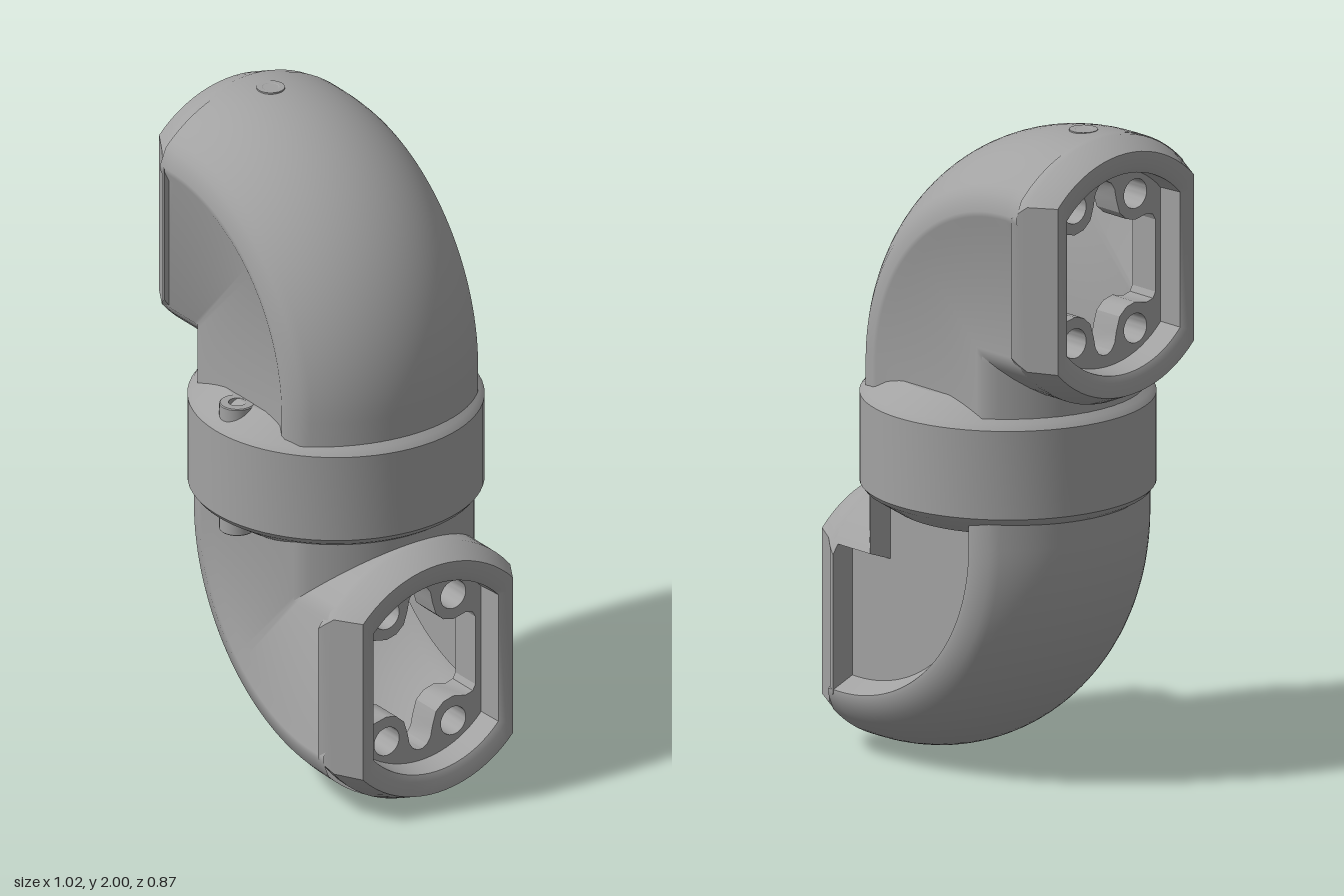
import * as THREE from 'three';
import { toCreasedNormals } from 'three/addons/utils/BufferGeometryUtils.js';

const grey = new THREE.MeshStandardMaterial({ color: 0xa2a2a2 });
grey.name = 'grey metal';
grey.side = THREE.DoubleSide;

const R = 0.405;        // pipe radius, also the bend radius
const MID = 1.595;      // height of the upper opening's centre

function part(name, geometry, parent) {
  const mesh = new THREE.Mesh(geometry, grey);
  mesh.name = name;
  parent.add(mesh);
  return mesh;
}

// Skin over closed rings that all have the same number of points
function loft(rings, crease) {
  const n = rings[0].length, index = [];
  for (let i = 0; i < rings.length - 1; i++) {
    for (let j = 0; j < n; j++) {
      const a = i * n + j, b = i * n + (j + 1) % n;
      index.push(a, a + n, b, b, a + n, b + n);
    }
  }
  const g = new THREE.BufferGeometry();
  g.setAttribute('position', new THREE.Float32BufferAttribute(rings.flat(2), 3));
  g.setIndex(index);
  return toCreasedNormals(g, crease);
}

function arc(r, from, to, steps) {
  return Array.from({ length: steps + 1 }, (_, i) => {
    const t = from + (to - from) * i / steps;
    return [r * Math.cos(t), r * Math.sin(t)];
  });
}

// Circle with both sides cut flat at z = +-w, as [height, z]
function flattened(r, w) {
  const a = Math.asin(w / r);
  return [...arc(r, -a, a, 20), ...arc(r, Math.PI - a, Math.PI + a, 20)];
}

// Bent pipe with flat cheeks, a raised rim and a sunk panel on each cheek
function elbowGeometry(backDepth) {
  const crown = 0.44, a = Math.asin(0.32 / crown), b = Math.asin(0.325 / R);
  const section = [
    ...arc(crown, -a, a, 24).map(([u, z]) => [u + R - crown, z]),
    [0.215, 0.34], [0.2, 0.34], [0.17, 0.325],
    ...arc(R, Math.PI - b, Math.PI + b, 16),
    [-0.22, -backDepth], [0.17, -backDepth], [0.2, -0.34], [0.215, -0.34],
  ];
  const ring = (t) => section.map(([u, z]) => {
    const c = Math.cos(t), s = Math.sin(t);
    // the inner side is mitred, the outer side is a slightly tighter round bend
    const shift = u < 0 ? 0 : 0.045;
    const d = u < 0 ? (R + u) / Math.max(c, s) : R + u - shift;
    return [-R + shift + d * c, 1.19 + shift + d * s, z];
  });
  const rings = [ring(0).map(([x, , z]) => [x, 1.04, z])];
  for (let i = 0; i <= 32; i++) rings.push(ring(i / 32 * Math.PI / 2));
  rings.push(ring(Math.PI / 2).map(([, y, z]) => [-0.408, y, z]));
  return loft(rings, 0.7);
}

// Chamfered end collar with a recessed mouth: [x, radius, half width]
function collarGeometry() {
  const steps = [
    [0.385, 0.3, 0.22], [0.385, R - 0.003, 0.342], [0.405, R, 0.334], [0.43, R, 0.318],
    [0.51, 0.37, 0.27], [0.51, 0.325, 0.245], [0.5, 0.305, 0.225], [0.41, 0.3, 0.22],
  ];
  return loft(steps.map(([x, r, w]) => flattened(r, w).map(([h, z]) => [-x, MID + h, z])), 0.5);
}

// Plate inside the mouth: four screw holes and a notched window into the pipe
function plateGeometry() {
  const v = ([x, y]) => new THREE.Vector2(x, y);
  const shape = new THREE.Shape(flattened(0.302, 0.222).map(([h, z]) => v([z, h])));
  const q = [[0.2, 0.11], [0.19, 0.128], [0.165, 0.135], [0.12, 0.125], [0.085, 0.134],
    [0.058, 0.158], [0.045, 0.2], [0.038, 0.235], [0.025, 0.255], [0.008, 0.264]];
  const half = [...q, ...q.slice().reverse().map(([x, y]) => [-x, y])];
  shape.holes.push(new THREE.Path([...half, ...half.map(([x, y]) => [-x, -y])].map(v)));
  for (const x of [-0.12, 0.12]) {
    for (const y of [-0.205, 0.205]) {
      shape.holes.push(new THREE.Path().absarc(x, y, 0.045, 0, Math.PI * 2, true));
    }
  }
  const g = new THREE.ExtrudeGeometry(shape, { depth: 0.1, bevelEnabled: false, curveSegments: 20 });
  g.rotateY(-Math.PI / 2);
  return toCreasedNormals(g, 0.5);
}

function lathe(points, segments) {
  const g = new THREE.LatheGeometry(points.map(([x, y]) => new THREE.Vector2(x, y)), segments);
  return toCreasedNormals(g, 0.4);
}

function makeElbow(name, backDepth) {
  const elbow = new THREE.Group();
  elbow.name = name;
  part('elbowPipe', elbowGeometry(backDepth), elbow);
  part('endCollar', collarGeometry(), elbow);
  part('mouthPlate', plateGeometry(), elbow).position.set(-0.32, MID, 0);

  // Small screw seat on the outer bend
  const seat = lathe([[0.042, -0.01], [0.042, 0.001], [0.026, 0.001], [0.024, 0], [0, 0]], 24);
  part('screwSeat', seat, elbow).position.set(-0.327, 2, 0);

  // Clamp screw boss standing on the ring's shoulder
  const boss = lathe([[0.053, 1.12], [0.053, 1.203], [0.05, 1.206], [0.026, 1.206], [0.026, 1.18], [0, 1.18]], 28);
  part('clampScrew', boss, elbow).position.z = 0.356;
  return elbow;
}

export function createModel() {
  const model = new THREE.Group();
  model.name = 'swivelElbow';

  model.add(makeElbow('upperElbow', 0.325));

  // Lower half is the same part turned over, with its back cover left off
  const lower = makeElbow('lowerElbow', 0.265);
  lower.rotation.z = Math.PI;
  lower.position.y = 2;
  model.add(lower);

  // Swivel ring with conical shoulders
  const half = [[0, 0.79], [0.34, 0.795], [0.422, 0.848], [0.435, 0.865]];
  const profile = [...half, ...half.slice().reverse().map(([x, y]) => [x, 2 - y])];
  part('swivelRing', lathe(profile, 72), model);
  return model;
}
